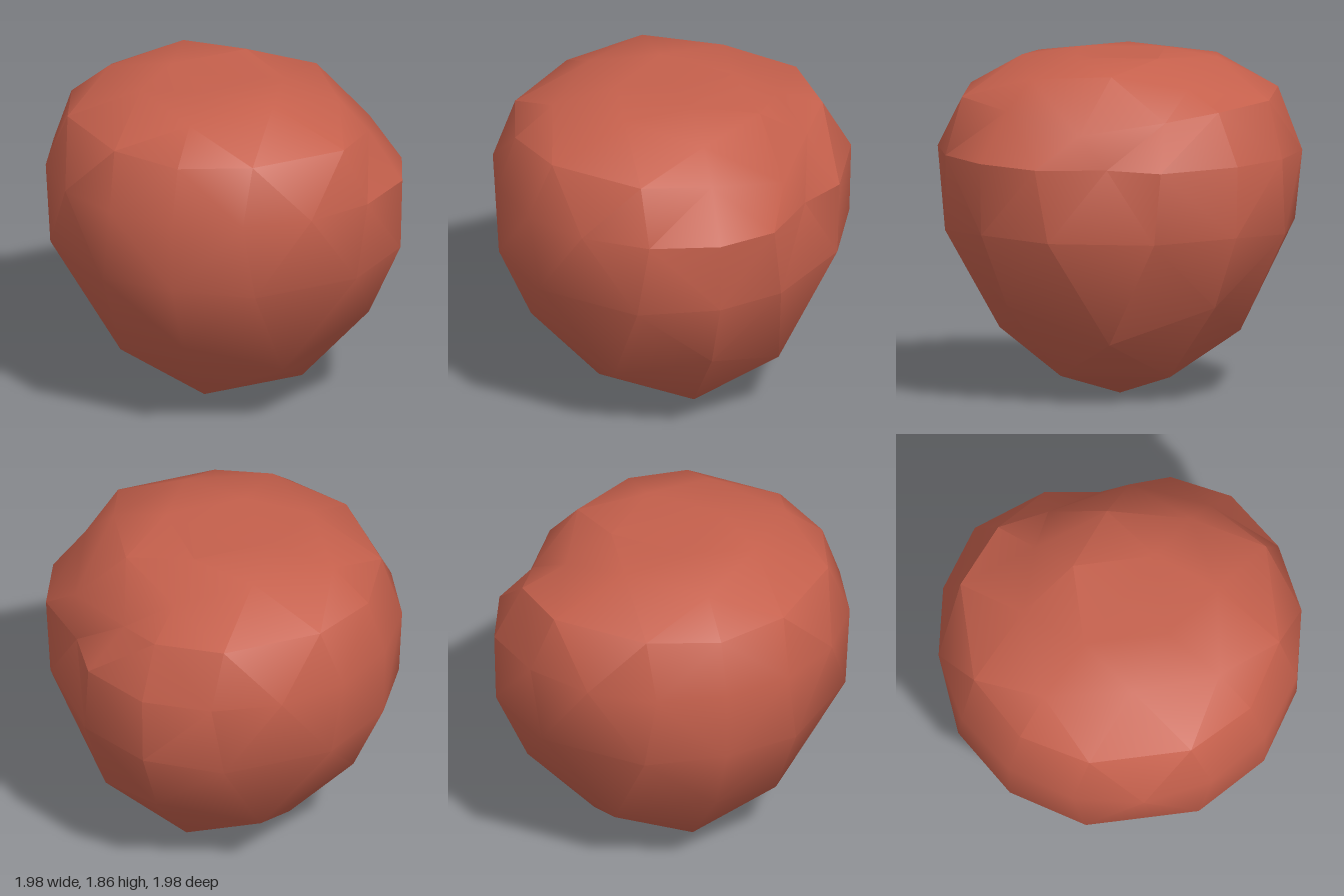
import * as THREE from 'three';
import { toCreasedNormals } from 'three/addons/utils/BufferGeometryUtils.js';

const V = (x, y, z) => new THREE.Vector3(x, y, z);

// Half outline of the body as (radius, height), one point per 22.5 degrees of latitude
const outline = new THREE.CatmullRomCurve3([
  [0, 0], [0.42, 0.13], [0.8, 0.55], [0.98, 0.95], [0.99, 1.34],
  [0.89, 1.63], [0.68, 1.8], [0.32, 1.86], [0, 1.82],
].map(([r, y]) => V(r, y, 0)));

// Bite on the back left shoulder: direction of a corner, then where it is pressed to
const bite = [
  [V(1, 1, -2), V(0.25, 1.57, -0.68)],
  [V(2, 1, -1), V(0.66, 1.51, -0.44)],
  [V(1, 2, -1), V(0.38, 1.8, -0.38)],
  [V(1, 0, -1), V(0.58, 1.33, -0.58)],
  [V(0, 1, -1), V(0, 1.72, -0.58)],
  [V(1, 1, 0), V(0.63, 1.77, 0)],
  [V(0.924, 0.383, 0), V(0.8, 1.61, 0)],
  [V(0, 0.383, -0.924), V(0, 1.62, -0.83)],
  [V(0.924, 0, -0.383), V(0.88, 1.33, -0.33)],
  [V(0.383, 0, -0.924), V(0.4, 1.32, -0.82)],
  [V(2, -1, -1), V(0.83, 0.93, -0.38)],
  [V(1, -1, -2), V(0.43, 0.93, -0.8)],
].map(([dir, to]) => [dir.normalize(), to]);

// Split every triangle in four and push the new corners out to the unit sphere
function subdivide(triangles) {
  const mid = (p, q) => p.clone().add(q).normalize();
  return triangles.flatMap(([a, b, c]) => {
    const ab = mid(a, b), bc = mid(b, c), ca = mid(c, a);
    return [[a, ab, ca], [ab, b, bc], [ca, bc, c], [ab, bc, ca]];
  });
}

// Move a unit sphere corner onto the outline, or into the bite
function shape(p) {
  const pressed = bite.find(([dir]) => dir.distanceTo(p) < 0.02);
  if (pressed) return pressed[1];
  const latitude = Math.asin(THREE.MathUtils.clamp(p.y, -1, 1));
  const o = outline.getPoint(latitude / Math.PI + 0.5);
  const around = Math.hypot(p.x, p.z) || 1;
  return V((p.x / around) * o.x, o.y, (p.z / around) * o.x);
}

export function createModel() {
  const red = new THREE.MeshStandardMaterial({ name: 'softRed', color: 0xc5604c });

  // Eight octants, subdivided twice
  const corners = new THREE.OctahedronGeometry(1, 0).getAttribute('position');
  let triangles = [];
  for (let i = 0; i < corners.count; i += 3) {
    triangles.push([0, 1, 2].map((k) => V().fromBufferAttribute(corners, i + k)));
  }
  for (let level = 0; level < 2; level++) triangles = subdivide(triangles);

  const geometry = new THREE.BufferGeometry().setFromPoints(triangles.flat().map(shape));
  const body = new THREE.Mesh(toCreasedNormals(geometry, 0.6), red);
  body.name = 'fruitBody';

  const model = new THREE.Group();
  model.name = 'bittenFruit';
  model.add(body);
  return model;
}
